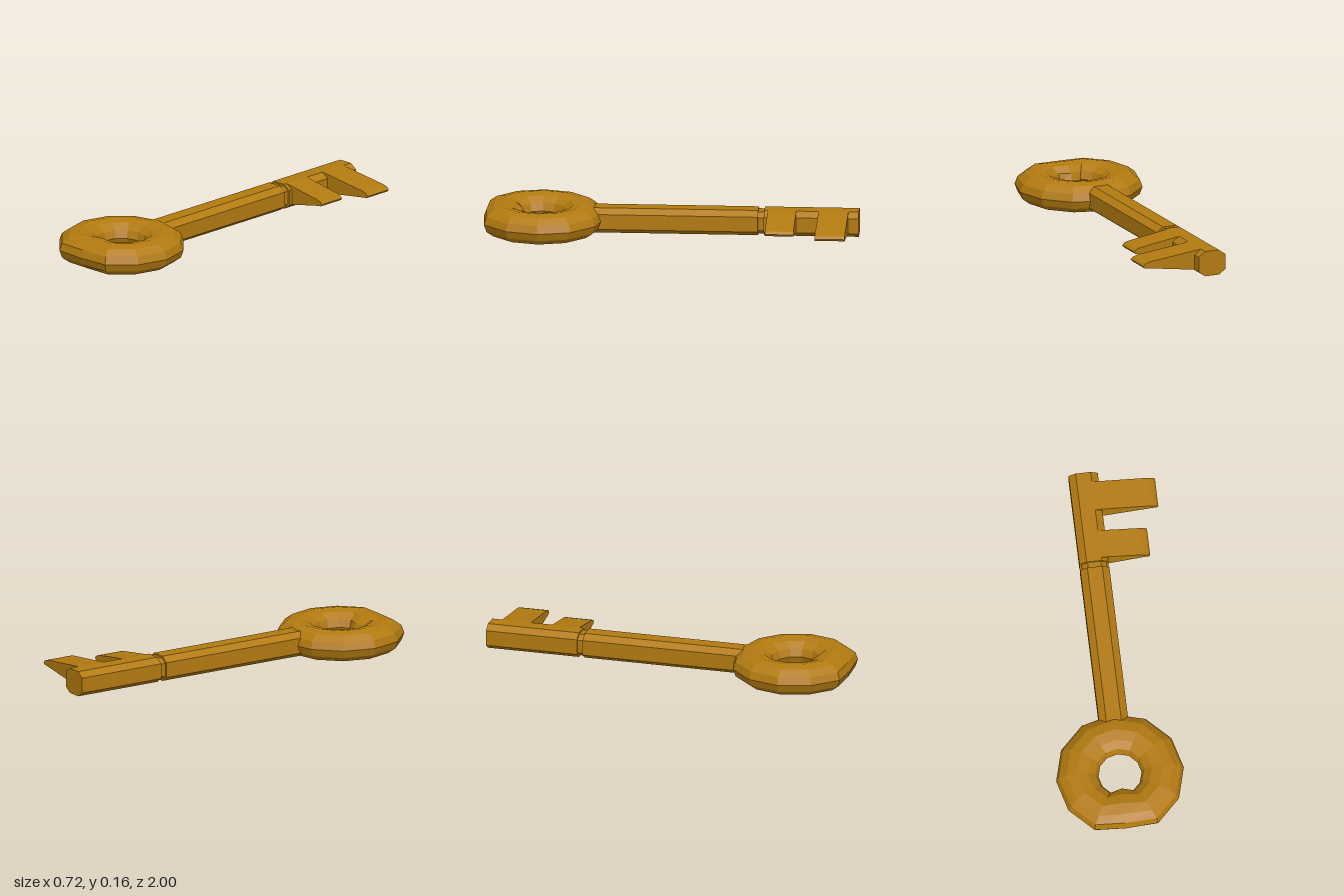
import * as THREE from 'three';

const AXIS_X = -0.02, AXIS_Y = 0.083;

export function createModel() {
  const key = new THREE.Group();
  key.name = 'key';
  const brass = new THREE.MeshStandardMaterial({ color: 0xb27a10 });
  brass.name = 'aged brass';
  brass.flatShading = true;

  const add = (name, geometry, x, y, z) => {
    const mesh = new THREE.Mesh(geometry, brass);
    mesh.name = name;
    mesh.position.set(x, y, z);
    key.add(mesh);
    return mesh;
  };

  // Extrude an outline in x/y along z, from z0 to z1
  const prism = (name, points, x, y, z0, z1) => {
    const shape = new THREE.Shape(points.map(([px, py]) => new THREE.Vector2(px, py)));
    return add(name, new THREE.ExtrudeGeometry(shape, { depth: z1 - z0, bevelEnabled: false }), x, y, z0);
  };

  // Bow: twelve-sided ring with an oval section, dented at the front
  const tube = 0.113, ringRadius = 0.228;
  const ring = new THREE.TorusGeometry(ringRadius, tube, 12, 12);
  ring.rotateX(Math.PI / 2);
  ring.scale(1, 0.082 / tube, 1);
  const p = ring.attributes.position;
  for (let i = 0; i < p.count; i++) {
    if (Math.abs(p.getX(i)) < 0.001 && p.getZ(i) > 0) p.setZ(i, p.getZ(i) - 0.035);
  }
  ring.computeVertexNormals();
  add('bow', ring, AXIS_X, AXIS_Y, 0.69);

  // Shaft: chamfered octagonal bar with a narrow neck before the bit
  const octagon = (s) => [
    [0.078, -0.041], [0.078, 0.041], [0.04, 0.068], [-0.04, 0.068],
    [-0.078, 0.041], [-0.078, -0.041], [-0.04, -0.068], [0.04, -0.068],
  ].map(([x, y]) => [x * s, y * s]);
  prism('shaft', octagon(1), AXIS_X, AXIS_Y, -0.465, 0.43);
  prism('neck', octagon(0.87), AXIS_X, AXIS_Y, -0.5, -0.46);
  prism('bitShaft', octagon(1), AXIS_X, AXIS_Y, -1, -0.497);

  // Bit teeth: wedges tapering to a rounded tip at the model's left
  const tooth = (name, tip, z0, z1) => prism(name, [
    [0.0, 0.042], [0.058, 0.042], [tip - 0.035, 0.08], [tip - 0.008, 0.083],
    [tip, 0.094], [tip - 0.013, 0.107], [tip - 0.038, 0.115], [0.02, 0.151], [0.0, 0.15],
  ], 0, 0, z0, z1);
  tooth('longTooth', 0.357, -0.945, -0.786);
  tooth('shortTooth', 0.282, -0.668, -0.516);

  return key;
}
